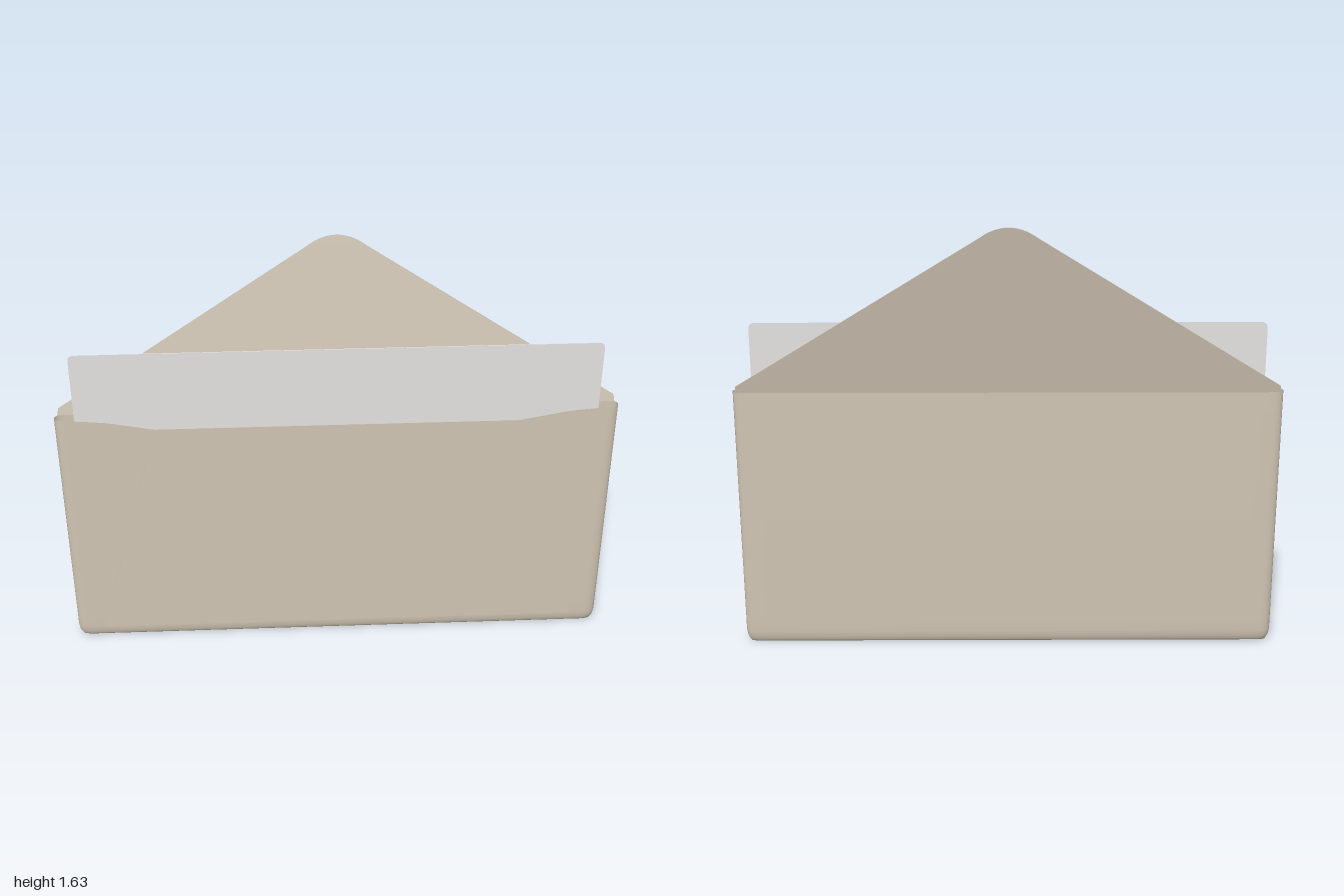
import * as THREE from 'three';

const paper = new THREE.MeshStandardMaterial({ color: 0xd0c5b4, side: THREE.DoubleSide });
paper.name = 'beigePaper';
const white = new THREE.MeshStandardMaterial({ color: 0xe4e3e1, side: THREE.DoubleSide });
white.name = 'whiteCard';

const MID_Z = 0.0565, HALF_Z = 0.022;

function part(name, geometry, material) {
  const mesh = new THREE.Mesh(geometry, material);
  mesh.name = name;
  return mesh;
}

// Height of the front lip: low in the middle, rising to the corners
function lipHeight(x) {
  const a = Math.abs(x);
  if (a < 0.65) return 0.955;
  if (a < 0.82) return 0.955 + (a - 0.65) / 0.17 * 0.033;
  return Math.min(1, 0.988 + (a - 0.82) / 0.13 * 0.012);
}

// Flattened loop around the pocket, front side first, with rounded ends
function pocketLoop() {
  const loop = [];
  const xs = [-0.96, -0.9, -0.82, -0.65, -0.3, 0, 0.3, 0.65, 0.82, 0.9, 0.96];
  const end = (sign) => {
    for (let i = 1; i < 8; i++) {
      const a = Math.PI * i / 8;
      loop.push([sign * (0.96 + 0.04 * Math.sin(a)), sign * Math.cos(a)]);
    }
  };
  xs.forEach((x) => loop.push([x, 1]));
  end(1);
  [...xs].reverse().forEach((x) => loop.push([x, -1]));
  end(-1);
  return loop;
}

// Open-topped pocket, rounded and closed along the bottom
function pocketGeometry() {
  const loop = pocketLoop(), n = loop.length;
  // [height, depth scale, width scale]
  const rows = [[0, 0, 0.982], [0, 0.45, 0.984], [0.008, 0.65, 0.989], [0.022, 0.86, 0.996],
    [0.045, 1, 1], [0.1, 1, 1], [0.5, 1, 1], [0.92, 1, 1], [null, 1, 1]];
  const pos = [], index = [];
  rows.forEach(([y, sz, sx]) => loop.forEach(([x, z]) => {
    const top = z > 0.5 ? lipHeight(x) : 1;
    pos.push(x * sx, y === null ? top : y, MID_Z + z * HALF_Z * sz);
  }));
  for (let r = 0; r < rows.length - 1; r++) {
    for (let i = 0; i < n; i++) {
      const a = r * n + i, b = r * n + (i + 1) % n;
      index.push(a, b, b + n, a, b + n, a + n);
    }
  }
  const g = new THREE.BufferGeometry();
  g.setAttribute('position', new THREE.Float32BufferAttribute(pos, 3));
  g.setIndex(index);
  g.computeVertexNormals();
  return g;
}

// Triangular flap with a rounded tip, hinged on its base line
function flapGeometry() {
  const s = new THREE.Shape();
  s.moveTo(-0.99, 0);
  s.lineTo(0.99, 0);
  s.lineTo(0.985, 0.026);
  s.lineTo(0.1, 0.6);
  s.bezierCurveTo(0.035, 0.65, -0.035, 0.65, -0.1, 0.6);
  s.lineTo(-0.985, 0.026);
  return new THREE.ExtrudeGeometry(s, { depth: 0.003, bevelEnabled: false, curveSegments: 16 });
}

// Insert card with small rounded top corners
function cardGeometry() {
  const s = new THREE.Shape(), w = 0.93, top = 1.255, r = 0.025;
  s.moveTo(-w, 0.05);
  s.lineTo(w, 0.05);
  s.lineTo(w, top - r);
  s.quadraticCurveTo(w, top, w - r, top);
  s.lineTo(-w + r, top);
  s.quadraticCurveTo(-w, top, -w, top - r);
  return new THREE.ExtrudeGeometry(s, { depth: 0.003, bevelEnabled: false, curveSegments: 6 });
}

// Folded front panel whose slanted sides form the seams
function panelGeometry() {
  const s = new THREE.Shape();
  s.moveTo(-0.9, 0.045);
  s.lineTo(0.9, 0.045);
  s.lineTo(0.65, 0.955);
  s.lineTo(-0.65, 0.955);
  return new THREE.ExtrudeGeometry(s, { depth: 0.0025, bevelEnabled: false });
}

export function createModel() {
  const group = new THREE.Group();
  group.name = 'envelope';

  group.add(part('pocket', pocketGeometry(), paper));

  const panel = part('frontPanel', panelGeometry(), paper);
  panel.position.z = MID_Z + HALF_Z - 0.001;
  group.add(panel);

  const flap = part('flap', flapGeometry(), paper);
  flap.position.set(0, 0.998, MID_Z - HALF_Z);
  flap.rotation.x = -0.18;
  group.add(flap);

  const card = part('card', cardGeometry(), white);
  card.position.z = MID_Z - 0.0015;
  group.add(card);

  return group;
}
